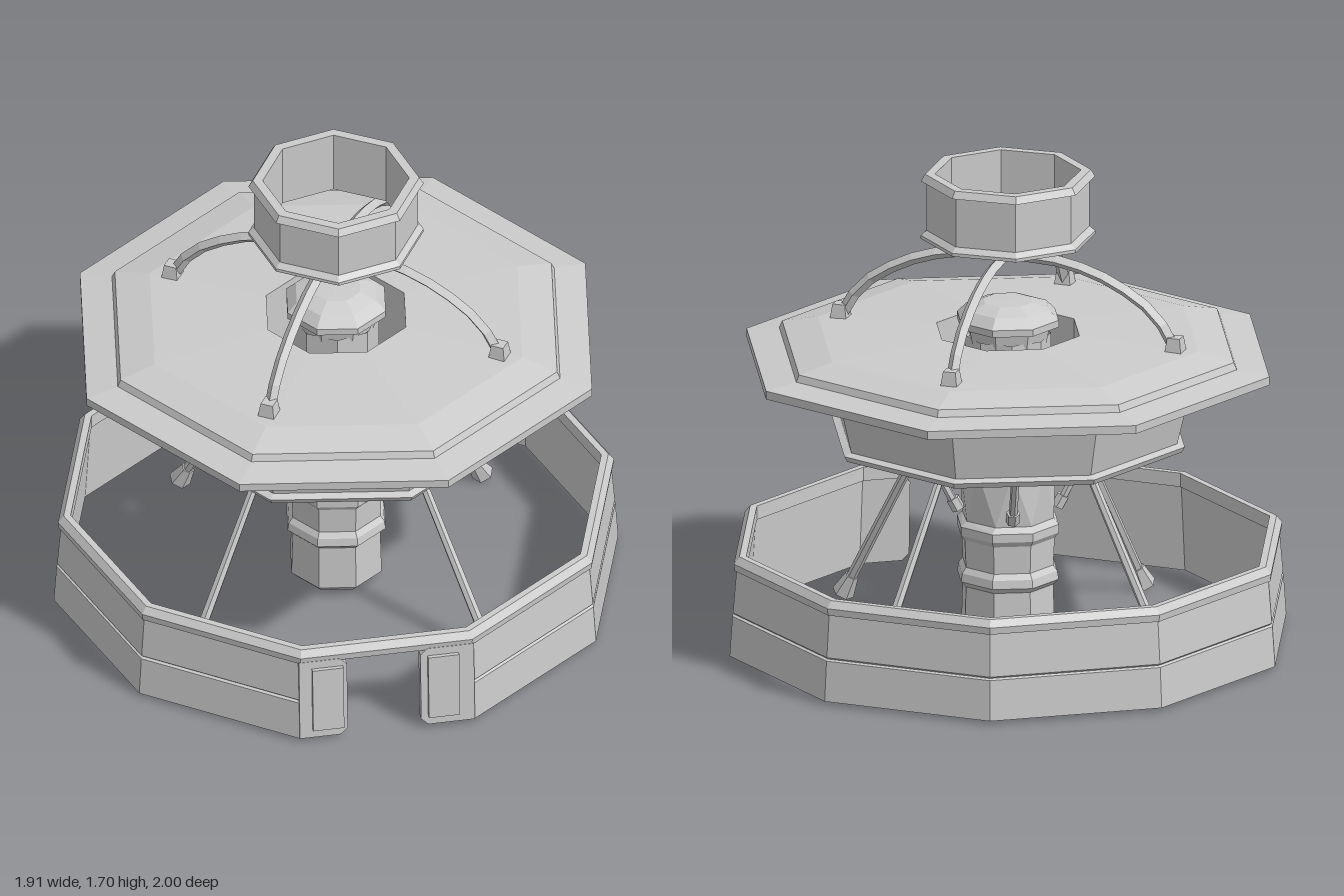
import * as THREE from 'three';

const mat = new THREE.MeshStandardMaterial({ color: 0xcccccc, flatShading: true, side: THREE.DoubleSide });
const UP = new THREE.Vector3(0, 1, 0);
const V = (x, y, z) => new THREE.Vector3(x, y, z);

function add(parent, name, geometry) {
  const mesh = new THREE.Mesh(geometry, mat);
  mesh.name = name;
  parent.add(mesh);
  return mesh;
}

// Faceted turning of a [radius, y] profile
function turned(profile, sides, start = 0, sweep = Math.PI * 2) {
  return new THREE.LatheGeometry(profile.map(([r, y]) => new THREE.Vector2(r, y)), sides, start, sweep);
}

// Octagon whose flat sides face the axes; profile radii are measured to the flats
function flatOctagon(profile) {
  const k = Math.cos(Math.PI / 8);
  return turned(profile.map(([r, y]) => [r / k, y]), 8, Math.PI / 8);
}

// Straight rod between two points
function rod(parent, name, a, b, rBottom, rTop = rBottom, sides = 6) {
  const d = b.clone().sub(a);
  const mesh = add(parent, name, new THREE.CylinderGeometry(rTop, rBottom, d.length(), sides));
  mesh.position.copy(a).add(b).multiplyScalar(0.5);
  mesh.quaternion.setFromUnitVectors(UP, d.normalize());
  return mesh;
}

// Ten-sided outer wall with one side left for the doorway
function buildBaseRing() {
  const g = new THREE.Group();
  g.name = 'baseRing';
  const step = Math.PI / 5;
  add(g, 'outerWall', turned([
    [0.965, 0], [1, 0], [0.99, 0.145], [0.98, 0.15], [0.988, 0.157], [0.975, 0.315],
    [0.945, 0.315], [0.965, 0]], 9, step * 2, step * 9));
  add(g, 'wallRim', turned([
    [0.94, 0.31], [0.982, 0.31], [0.985, 0.335], [0.965, 0.36], [0.94, 0.36], [0.94, 0.31]], 10));

  // Doorway: chamfered jambs with raised panels
  const door = new THREE.Group();
  door.name = 'doorway';
  door.rotation.y = step * 1.5;
  g.add(door);
  for (const [outer, inner] of [[-0.31, -0.14], [0.31, 0.12]]) {
    const s = Math.sign(outer), c = 0.025;
    const shape = new THREE.Shape([
      [outer, 0], [inner + s * c, 0], [inner, c], [inner, 0.29], [inner + s * c, 0.315], [outer, 0.315],
    ].map(([x, y]) => new THREE.Vector2(x, y)));
    const jamb = add(door, 'doorJamb', new THREE.ExtrudeGeometry(shape, { depth: 0.035, bevelEnabled: false }));
    jamb.position.z = 0.92;
    jamb.rotation.x = -0.06;
    const panel = add(jamb, 'jambPanel', new THREE.BoxGeometry(0.11, 0.25, 0.02));
    panel.position.set((outer + inner) / 2 - s * 0.015, 0.16, 0.04);
  }
  return g;
}

// Central pillar with collars and a twisted middle section
function buildColumn() {
  const g = new THREE.Group();
  g.name = 'centralColumn';
  const pillar = turned([
    [0, 0], [0.14, 0], [0.17, 0.03], [0.165, 0.2], [0.185, 0.22], [0.18, 0.25], [0.165, 0.27],
    [0.17, 0.37], [0.185, 0.39], [0.185, 0.42], [0.165, 0.44], [0.168, 0.64], [0.185, 0.66],
    [0.185, 0.73], [0.15, 0.75], [0.15, 1.1]], 8, Math.PI / 8);
  const p = pillar.attributes.position;
  const v = new THREE.Vector3();
  for (let i = 0; i < p.count; i++) {
    v.fromBufferAttribute(p, i);
    v.applyAxisAngle(UP, THREE.MathUtils.clamp((v.y - 0.42) / 0.22, 0, 1) * Math.PI / 8);
    p.setXYZ(i, v.x, v.y, v.z);
  }
  add(g, 'pillar', pillar);
  add(g, 'domeCap', turned([
    [0.14, 1.08], [0.15, 1.13], [0.185, 1.14], [0.185, 1.165], [0.15, 1.2], [0.09, 1.222], [0, 1.225]], 8, Math.PI / 8));
  return g;
}

// Legs, column braces and underside discs
function buildSupports() {
  const g = new THREE.Group();
  g.name = 'supports';
  for (let i = 0; i < 4; i++) {
    const quarter = new THREE.Group();
    quarter.name = 'supportQuarter';
    quarter.rotation.y = i * Math.PI / 2;
    g.add(quarter);
    const top = V(0.33, 0.73, 0), foot = V(0.73, 0.03, 0);
    rod(quarter, 'leg', foot, top, 0.019, 0.015);
    rod(quarter, 'legFoot', V(0.745, 0.005, 0), V(0.705, 0.075, 0), 0.04, 0.024);
    rod(quarter, 'legBracket', V(0.34, 0.71, 0), V(0.325, 0.74, 0), 0.025);
    rod(quarter, 'columnBrace', V(0.13, 0.48, 0.13), V(0.22, 0.73, 0.22), 0.015);
    rod(quarter, 'braceEnd', V(0.122, 0.465, 0.122), V(0.137, 0.505, 0.137), 0.024);
    rod(quarter, 'braceBracket', V(0.215, 0.712, 0.215), V(0.222, 0.735, 0.222), 0.024);
    for (const a of [-Math.PI / 8, Math.PI / 8]) {
      const x = 0.82 * Math.cos(a), z = 0.82 * Math.sin(a);
      rod(quarter, 'undersideDisc', V(x, 0.985, z), V(x, 1.005, z), 0.04, 0.045, 8);
    }
  }
  return g;
}

// Four curved arms meeting above the dome
function buildArms() {
  const g = new THREE.Group();
  g.name = 'archedArms';
  g.rotation.y = 0.365;
  const curve = new THREE.CatmullRomCurve3([
    V(0.61, 1.11, 0), V(0.54, 1.22, 0), V(0.38, 1.325, 0), V(0.2, 1.38, 0), V(0, 1.39, 0)]);
  for (let i = 0; i < 4; i++) {
    const arm = new THREE.Group();
    arm.name = 'arm';
    arm.rotation.y = i * Math.PI / 2;
    g.add(arm);
    add(arm, 'armCurve', new THREE.TubeGeometry(curve, 8, 0.021, 4));
    const pad = add(arm, 'armFoot', new THREE.CylinderGeometry(0.032, 0.043, 0.055, 4, 1, false, Math.PI / 4));
    pad.position.set(0.615, 1.122, 0);
  }
  rod(g, 'armStem', V(0.008, 1.38, 0), V(-0.008, 1.46, 0), 0.024, 0.018, 4);
  return g;
}

export function createModel() {
  const model = new THREE.Group();
  model.name = 'saucerTower';
  model.add(buildBaseRing(), buildColumn(), buildSupports(), buildArms());

  // Tapered hull under the disc, open around the column
  add(model, 'hull', flatOctagon([
    [0.24, 0.735], [0.585, 0.725], [0.595, 0.745], [0.57, 0.755], [0.62, 0.98], [0.64, 0.985],
    [0.64, 1.005], [0.24, 1.005], [0.24, 0.735]]));

  // Wide disc with stepped top
  add(model, 'saucerDisc', flatOctagon([
    [0.24, 1], [0.88, 1], [0.88, 1.03], [0.77, 1.045], [0.76, 1.07], [0.64, 1.098],
    [0.24, 1.115], [0.24, 1]]));

  // Open flanged drum at the top
  add(model, 'topDrum', turned([
    [0.255, 1.455], [0.305, 1.455], [0.305, 1.467], [0.285, 1.485], [0.285, 1.66], [0.305, 1.665],
    [0.29, 1.69], [0.255, 1.69], [0.255, 1.455]], 8));
  return model;
}
